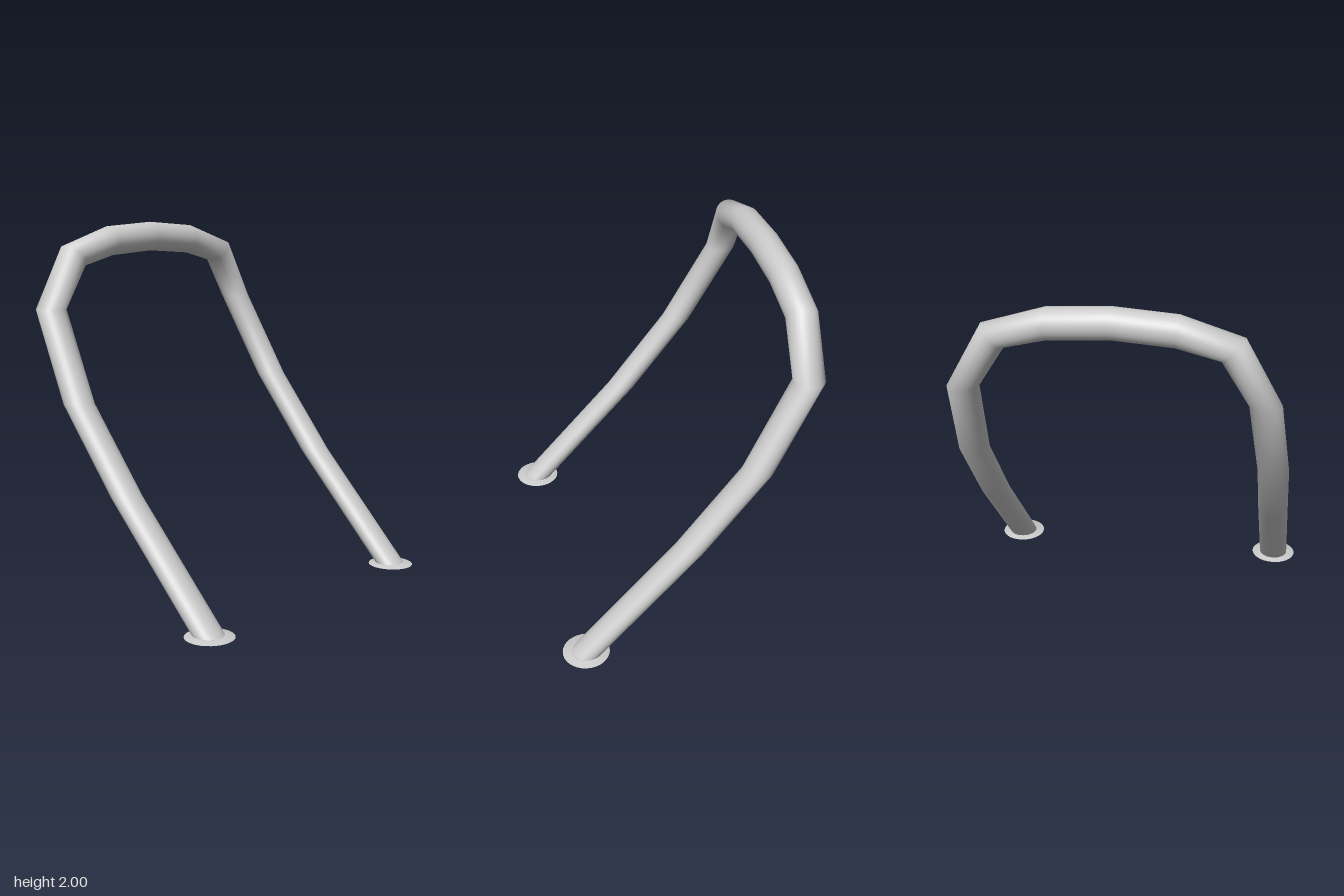
import * as THREE from 'three';

const RADIUS = 0.082;
const SIDES = 32;
const material = new THREE.MeshStandardMaterial({ color: 0xcccccc });

// Half of the bar, foot to crown: centre x, y, z and the tilt of the ring in degrees
const half = [
  [0.805, 0, 0.565, 0],
  [0.805, 0.61, 0, 0],
  [0.804, 1.06, -0.353, 0],
  [0.759, 1.54, -0.61, 0],
  [0.593, 1.82, -0.61, 45],
  [0.322, 1.897, -0.61, 85],
];

// Sweep circular rings along the bar, left foot to right foot
function barGeometry() {
  const mirrored = half.map(([x, y, z, a]) => [-x, y, z, 180 - a]).reverse();
  const stations = [...half, [0, 1.918, -0.61, 90], ...mirrored];
  const positions = [];
  const indices = [];
  stations.forEach(([x, y, z, degrees], i) => {
    const tilt = THREE.MathUtils.degToRad(degrees);
    for (let j = 0; j < SIDES; j++) {
      const t = (j / SIDES) * Math.PI * 2;
      const out = RADIUS * Math.cos(t);
      positions.push(x + out * Math.cos(tilt), y + out * Math.sin(tilt), z + RADIUS * Math.sin(t));
      if (i === stations.length - 1) continue;
      const a = i * SIDES + j;
      const b = i * SIDES + ((j + 1) % SIDES);
      indices.push(a, a + SIDES, b, b, a + SIDES, b + SIDES);
    }
  });
  const geometry = new THREE.BufferGeometry();
  geometry.setAttribute('position', new THREE.Float32BufferAttribute(positions, 3));
  geometry.setIndex(indices);
  geometry.computeVertexNormals();
  return geometry;
}

export function createModel() {
  const group = new THREE.Group();
  group.name = 'bentHandrail';

  const bar = new THREE.Mesh(barGeometry(), material);
  bar.name = 'bentBar';
  group.add(bar);

  // Thin tapered flange under each foot
  const flangeGeometry = new THREE.CylinderGeometry(0.085, 0.128, 0.01, SIDES);
  for (const side of [1, -1]) {
    const flange = new THREE.Mesh(flangeGeometry, material);
    flange.name = side > 0 ? 'leftFootFlange' : 'rightFootFlange';
    flange.position.set(side * 0.805, 0.005, 0.565);
    group.add(flange);
  }
  return group;
}
